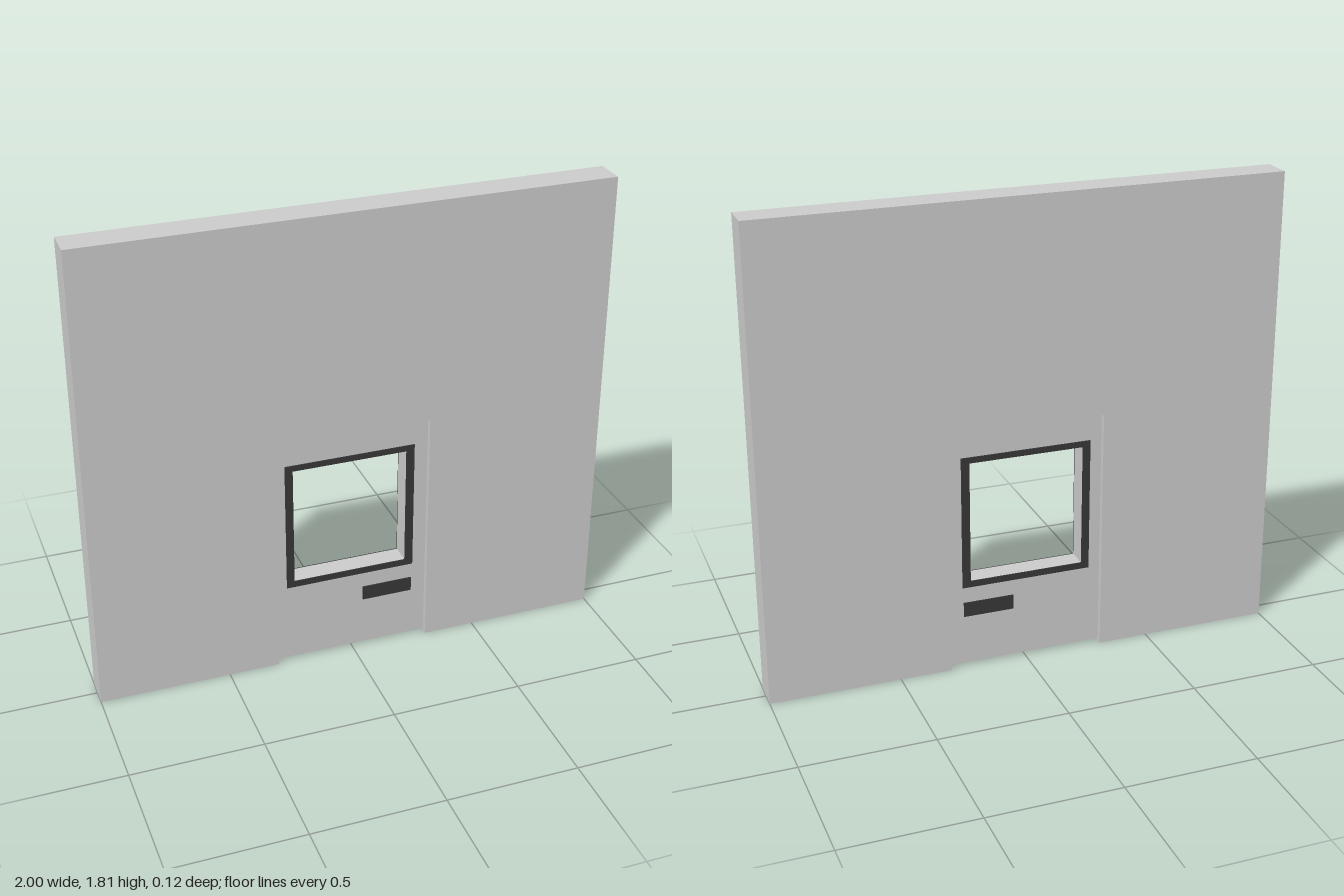
import * as THREE from 'three';

const grey = new THREE.MeshStandardMaterial({ color: 0xcccccc });
const dark = new THREE.MeshStandardMaterial({ color: 0x383838 });

// Closed rectangular outline from two opposite corners
function rect(PathType, x0, y0, x1, y1) {
  const p = new PathType();
  p.moveTo(x0, y0);
  p.lineTo(x1, y0);
  p.lineTo(x1, y1);
  p.lineTo(x0, y1);
  p.closePath();
  return p;
}

// Flat slab of a shape, centred on the given z
function slab(name, shape, depth, z, material) {
  const geometry = new THREE.ExtrudeGeometry(shape, { depth, bevelEnabled: false });
  geometry.translate(0, 0, z - depth / 2);
  const mesh = new THREE.Mesh(geometry, material);
  mesh.name = name;
  return mesh;
}

export function createModel() {
  const group = new THREE.Group();
  group.name = 'wallWithDoor';
  const wallDepth = 0.12, doorDepth = 0.078, trimDepth = 0.004;
  const doorLeft = -0.305, doorRight = 0.3, doorTop = 0.955;
  const opening = [-0.23, 0.353, 0.215, 0.83];

  // Wall, notched at the bottom for the doorway
  const wallShape = new THREE.Shape([
    [-1, 0], [doorLeft, 0], [doorLeft, doorTop], [doorRight, doorTop],
    [doorRight, 0], [1, 0], [1, 1.81], [-1, 1.81],
  ].map(([x, y]) => new THREE.Vector2(x, y)));
  group.add(slab('wall', wallShape, wallDepth, 0, grey));

  // Door panel, recessed on both faces, with a window opening
  const doorShape = rect(THREE.Shape, doorLeft, 0.01, doorRight, doorTop);
  doorShape.holes.push(rect(THREE.Path, ...opening));
  group.add(slab('doorPanel', doorShape, doorDepth, 0, grey));

  // Window trim and handle plate on each face of the door
  for (const [side, sign] of [['front', 1], ['back', -1]]) {
    const z = sign * (doorDepth + trimDepth) / 2;
    const trim = rect(THREE.Shape, -0.26, 0.328, 0.247, 0.853);
    trim.holes.push(rect(THREE.Path, ...opening));
    group.add(slab(side + 'WindowTrim', trim, trimDepth, z, dark));
    const plate = rect(THREE.Shape, 0.045, 0.207, 0.243, 0.265);
    group.add(slab(side + 'HandlePlate', plate, trimDepth, z, dark));
  }
  return group;
}
